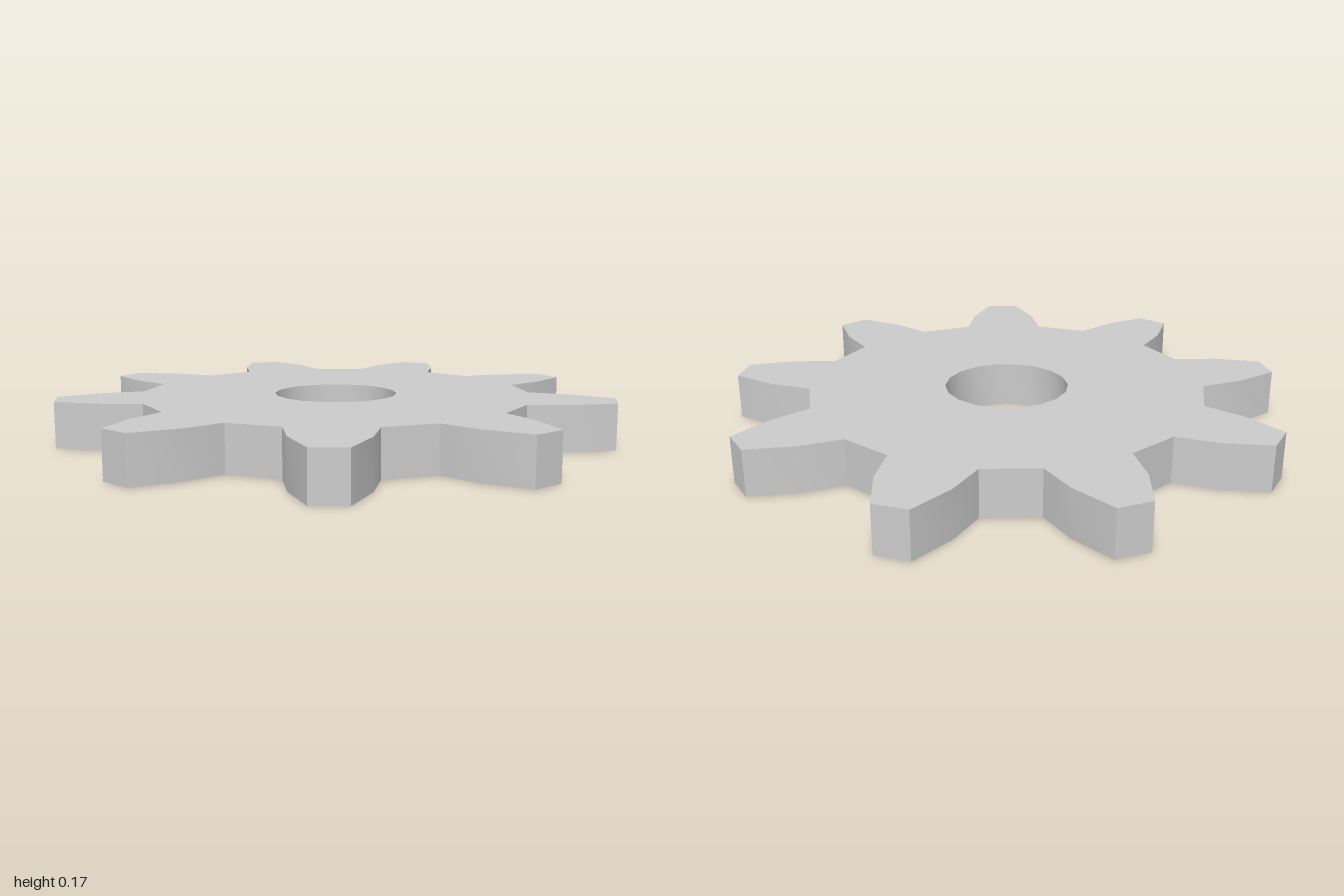
import * as THREE from 'three';
import { toCreasedNormals } from 'three/addons/utils/BufferGeometryUtils.js';

const TEETH = 9;
const HEIGHT = 0.165;
const BORE_RADIUS = 0.223;
const BORE_SIDES = 18;
const CENTRE_Z = -0.02;

// Right half of one tooth: [half width, distance from the axis], root to tip
const FLANK = [[0.15, 0.697], [0.125, 0.847], [0.06, 1.005]];

// Outline of the wheel, one tooth repeated around the axis
function gearShape() {
  const tooth = [
    ...FLANK.map(([x, y]) => new THREE.Vector2(x, y)),
    ...FLANK.map(([x, y]) => new THREE.Vector2(-x, y)).reverse(),
  ];
  const origin = new THREE.Vector2();
  const outline = [];
  for (let i = 0; i < TEETH; i++) {
    const angle = (i / TEETH) * Math.PI * 2;
    tooth.forEach((p) => outline.push(p.clone().rotateAround(origin, angle)));
  }
  const shape = new THREE.Shape(outline);

  // Faceted round bore
  const bore = [];
  for (let i = 0; i < BORE_SIDES; i++) {
    const a = -(i / BORE_SIDES) * Math.PI * 2;
    bore.push(new THREE.Vector2(Math.cos(a), Math.sin(a)).multiplyScalar(BORE_RADIUS));
  }
  shape.holes.push(new THREE.Path(bore));
  return shape;
}

export function createModel() {
  const group = new THREE.Group();
  group.name = 'gear';

  // Lay the extruded wheel flat, resting on the ground
  const extruded = new THREE.ExtrudeGeometry(gearShape(), { depth: HEIGHT, bevelEnabled: false });
  extruded.rotateX(Math.PI / 2);
  extruded.translate(0, HEIGHT, CENTRE_Z);

  // Smooth flanks and bore, sharp rims and tooth tips
  const geometry = toCreasedNormals(extruded, THREE.MathUtils.degToRad(30));
  const wheel = new THREE.Mesh(geometry, new THREE.MeshStandardMaterial({ color: 0xcccccc }));
  wheel.name = 'gearWheel';
  group.add(wheel);
  return group;
}
